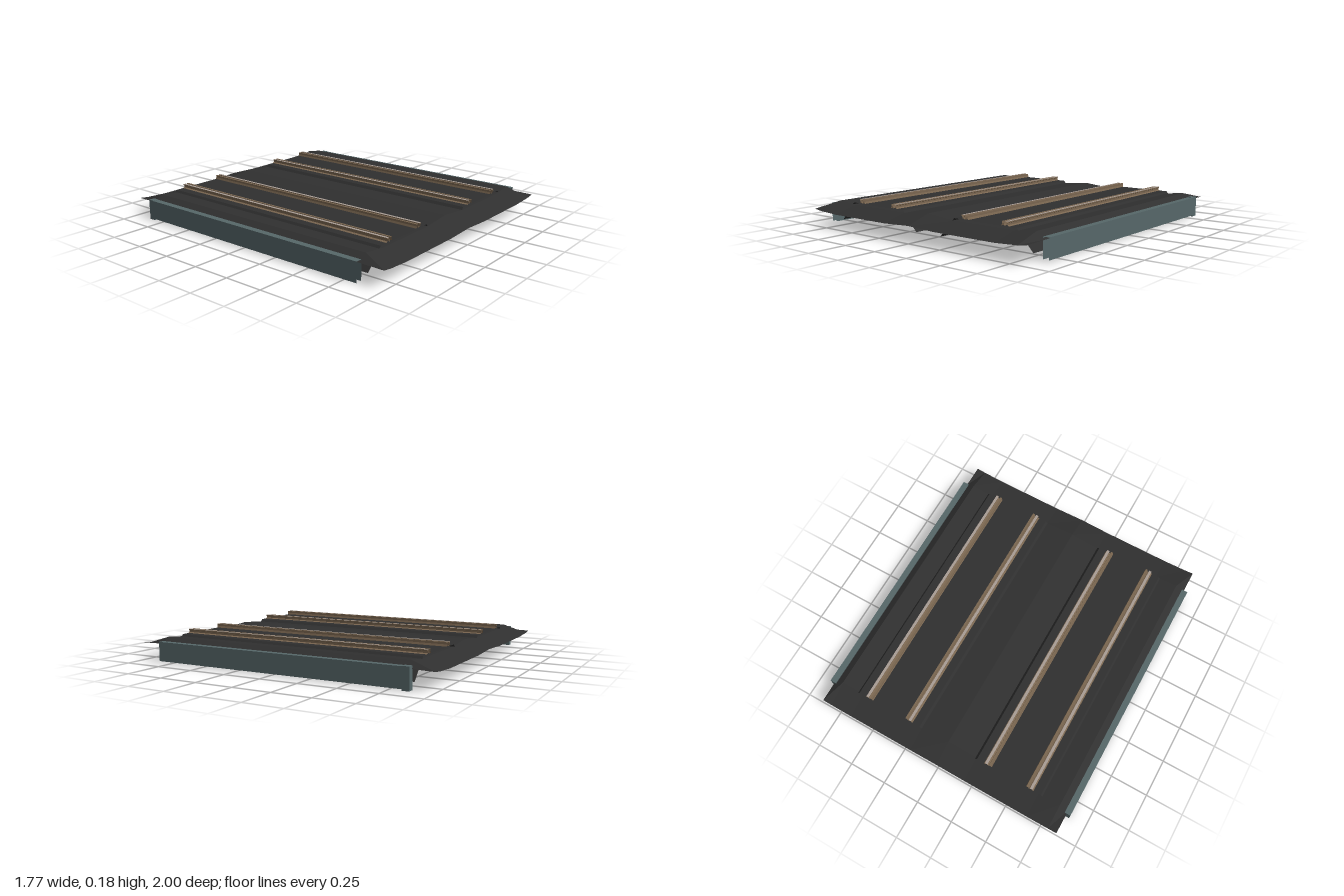
import * as THREE from 'three';

const mat = (name, color) => new THREE.MeshStandardMaterial({ name, color, side: THREE.DoubleSide });

// Sheet lofted through cross-sections; each section is a list of [x, y, z].
function loft(sections) {
  const n = sections[0].length, pos = sections.flat(2), idx = [];
  for (let j = 0; j < sections.length - 1; j++) {
    for (let i = 0; i < n - 1; i++) {
      const a = j * n + i, b = a + 1, c = a + n, d = c + 1;
      idx.push(a, c, b, b, c, d);
    }
  }
  const g = new THREE.BufferGeometry();
  g.setAttribute('position', new THREE.Float32BufferAttribute(pos, 3));
  g.setIndex(idx);
  const flat = g.toNonIndexed();
  flat.computeVertexNormals();
  return flat;
}

// Open profile of [x, y] points (left to right over the top) run along z.
const run = (profile, z0, z1) => loft([z0, z1].map((z) => profile.map(([x, y]) => [x, y, z])));

export function createModel() {
  const model = new THREE.Group();
  const ground = mat('dark ground', 0x303030);
  const gravel = mat('track gravel', 0x2f2f2f);
  const steel = mat('wall grey green', 0x566769);
  const rust = mat('rail rust', 0x7a6650);
  const shine = mat('rail head', 0xa89c94);

  const add = (parent, name, geometry, material) => {
    const m = new THREE.Mesh(geometry, material);
    m.name = name;
    parent.add(m);
    return m;
  };

  // Ground sheet: ridges at the middle and sides, both ends dipping
  const half = [[0, 0.155, 0.105], [0.2, 0.136, 0.096], [0.65, 0.136, 0.096], [0.8, 0.152, 0.104], [0.86, 0.115, 0.112]];
  const full = [...half.slice(1).reverse().map(([x, a, b]) => [-x, a, b]), ...half];
  const section = (z, end) => full.map(([x, a, b]) => [x, end ? b : a, z]);
  add(model, 'groundSheet', loft([section(-1, true), section(-0.84, false), section(0.84, false), section(1, true)]), ground);

  for (const s of [-1, 1]) {
    const track = new THREE.Group();
    track.name = s < 0 ? 'rightTrack' : 'leftTrack';
    track.position.x = s * 0.44;
    model.add(track);

    // Ballast bed with sloping shoulders
    add(track, 'ballastBed', run([[-0.34, 0.03], [-0.228, 0.152], [0.228, 0.152], [0.34, 0.03]], -0.85, 0.84), gravel);

    for (const r of [-1, 1]) {
      // Running rail: rusty foot and web, bright head
      const rail = new THREE.Group();
      rail.name = 'runningRail';
      rail.position.x = r * 0.16;
      track.add(rail);
      add(rail, 'railBody', run([[-0.016, 0.153], [-0.004, 0.158], [-0.004, 0.169], [-0.009, 0.172], [-0.009, 0.179]], -0.85, 0.84), rust);
      add(rail, 'railBody', run([[0.009, 0.179], [0.009, 0.172], [0.004, 0.169], [0.004, 0.158], [0.016, 0.153]], -0.85, 0.84), rust);
      add(rail, 'railHead', run([[-0.009, 0.179], [0.009, 0.179]], -0.85, 0.84), shine);

      // Check rail just inside the running rail
      const check = add(track, 'checkRail', run([[-0.011, 0.153], [-0.007, 0.165], [-0.007, 0.178], [0.007, 0.178], [0.007, 0.165], [0.011, 0.153]], -0.85, 0.84), rust);
      check.position.x = r * 0.133;
    }

    // Side wall: hollow channel, open below and at the front, with an end post at the back
    const wall = new THREE.Group();
    wall.name = s < 0 ? 'rightWall' : 'leftWall';
    wall.position.x = s * 0.866;
    model.add(wall);
    add(wall, 'wallChannel', run([[-0.02, 0.008], [-0.02, 0.13], [0.02, 0.13], [0.02, 0.008]], -0.84, 0.845), steel);
    const post = add(wall, 'wallEndPost', new THREE.BoxGeometry(0.04, 0.132, 0.045), steel);
    post.position.set(0, 0.066, -0.845);
  }
  return model;
}
